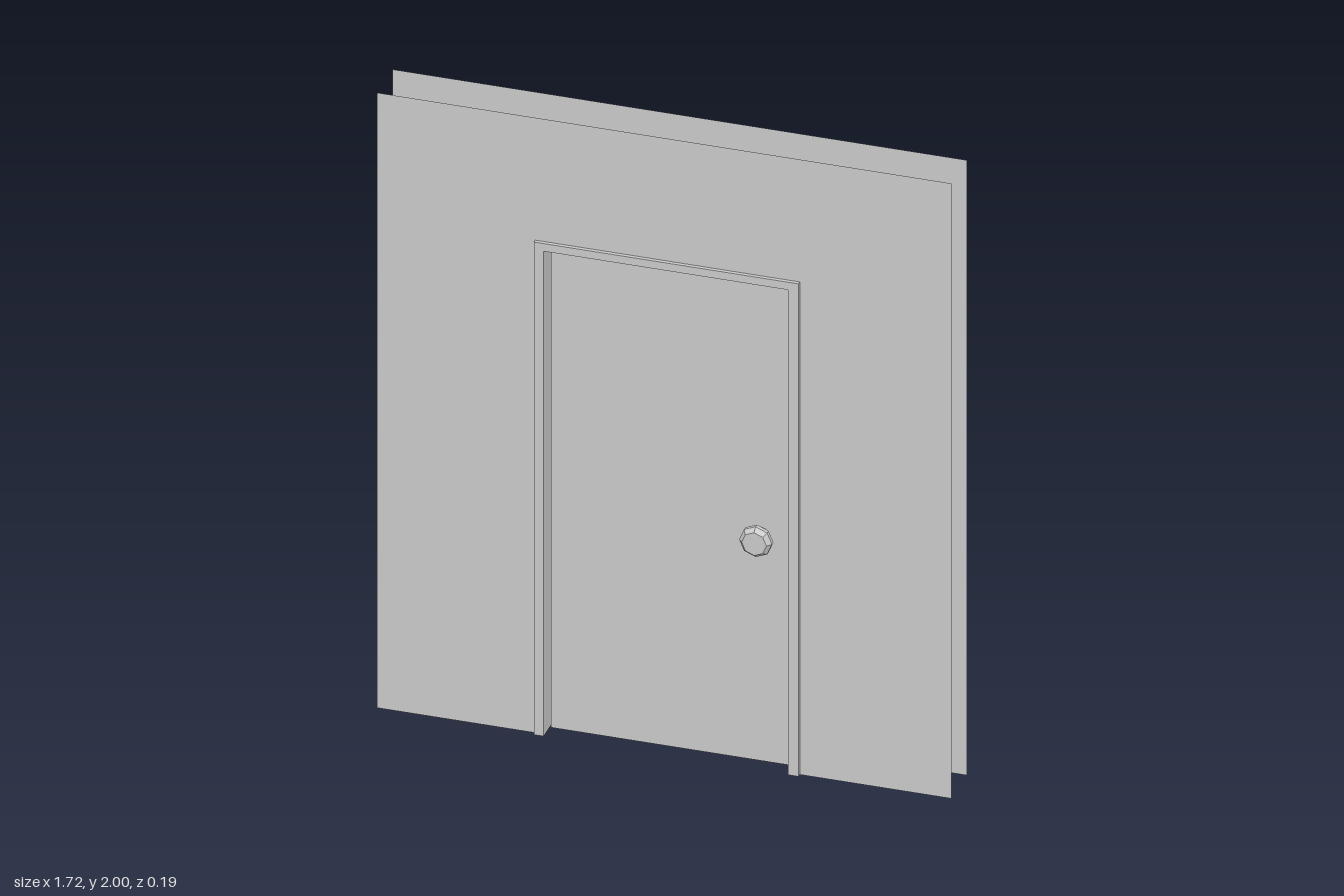
import * as THREE from 'three';

const WALL = { w: 0.86, h: 2, front: 0.061, back: -0.083 };
const OPENING = { x0: -0.357, x1: 0.374, top: 1.577 };
const TRIM = { x0: -0.386, x1: 0.406, top: 1.602, depth: 0.012 };
const DOOR = { x0: -0.349, x1: 0.372, y0: 0.008, y1: 1.575, front: 0.031, back: -0.008 };

// Upside-down U outline that stands on the floor around the opening
function archShape(x0, x1, top) {
  const o = OPENING;
  return new THREE.Shape([
    [x0, 0], [o.x0, 0], [o.x0, o.top], [o.x1, o.top],
    [o.x1, 0], [x1, 0], [x1, top], [x0, top],
  ].map(([x, y]) => new THREE.Vector2(x, y)));
}

export function createModel() {
  const group = new THREE.Group();
  const solid = new THREE.MeshStandardMaterial({ color: 0xcccccc, flatShading: true });
  const sheet = new THREE.MeshStandardMaterial({
    color: 0xcccccc, flatShading: true, side: THREE.DoubleSide,
  });
  const add = (name, geometry, material = solid) => {
    const mesh = new THREE.Mesh(geometry, material);
    mesh.name = name;
    group.add(mesh);
    return mesh;
  };

  // Thin wall sheets on both sides, cut out for the doorway
  const wall = new THREE.ShapeGeometry(archShape(-WALL.w, WALL.w, WALL.h));
  add('frontWall', wall, sheet).position.z = WALL.front;
  const backWall = add('backWall', wall.clone().rotateY(Math.PI).scale(-1, 1, 1), sheet);
  backWall.position.z = WALL.back;

  // Raised trim around the opening on each wall
  const trim = new THREE.ExtrudeGeometry(archShape(TRIM.x0, TRIM.x1, TRIM.top), {
    depth: TRIM.depth, bevelEnabled: false,
  });
  add('frontTrim', trim).position.z = WALL.front;
  add('backTrim', trim).position.z = WALL.back - TRIM.depth;

  // Thin lining that joins the two walls through the doorway
  const depth = WALL.front - WALL.back;
  const midZ = (WALL.front + WALL.back) / 2;
  for (const [name, x] of [['rightJamb', OPENING.x0], ['leftJamb', OPENING.x1]]) {
    const jamb = add(name, new THREE.PlaneGeometry(depth, OPENING.top), sheet);
    jamb.rotation.y = x < 0 ? Math.PI / 2 : -Math.PI / 2;
    jamb.position.set(x, OPENING.top / 2, midZ);
  }
  const width = OPENING.x1 - OPENING.x0;
  const head = add('headJamb', new THREE.PlaneGeometry(width, depth), sheet);
  head.rotation.x = Math.PI / 2;
  head.position.set((OPENING.x0 + OPENING.x1) / 2, OPENING.top, midZ);

  // Door slab
  const door = add('door', new THREE.BoxGeometry(
    DOOR.x1 - DOOR.x0, DOOR.y1 - DOOR.y0, DOOR.front - DOOR.back));
  door.position.set((DOOR.x0 + DOOR.x1) / 2, (DOOR.y0 + DOOR.y1) / 2,
    (DOOR.front + DOOR.back) / 2);

  // Eight-sided knob on each face of the door
  const profile = [[0.024, 0], [0.024, 0.024], [0.049, 0.036], [0.049, 0.049],
    [0.037, 0.063], [0, 0.063]].map(([r, y]) => new THREE.Vector2(r, y));
  const knob = new THREE.LatheGeometry(profile, 8);
  for (const [name, z, turn] of [['frontKnob', DOOR.front, 1], ['backKnob', DOOR.back, -1]]) {
    const mesh = add(name, knob);
    mesh.rotation.x = turn * Math.PI / 2;
    mesh.position.set(0.28, 0.745, z);
  }

  return group;
}
